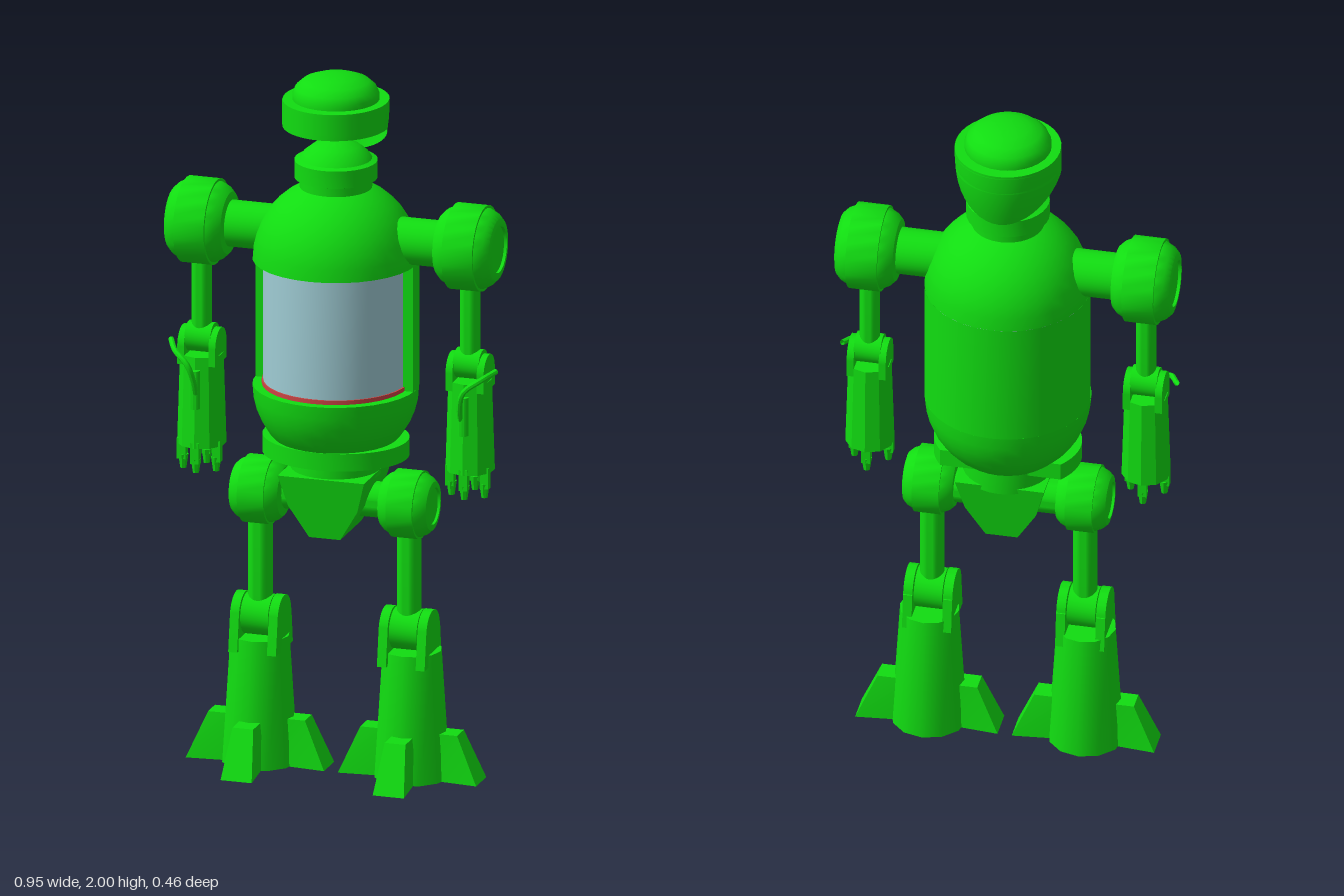
import * as THREE from 'three';
import { toCreasedNormals } from 'three/addons/utils/BufferGeometryUtils.js';

const green = new THREE.MeshStandardMaterial({ color: 0x11dd11, side: THREE.DoubleSide });
const glass = new THREE.MeshStandardMaterial({ color: 0x9fccd4, side: THREE.DoubleSide });
const red = new THREE.MeshStandardMaterial({ color: 0xcc4444, side: THREE.DoubleSide });

export function createModel() {
  const model = new THREE.Group();
  model.name = 'robot';

  const add = (parent, name, geo, x = 0, y = 0, z = 0, mat = green) => {
    const mesh = new THREE.Mesh(toCreasedNormals(geo, 0.55), mat);
    mesh.name = name;
    mesh.position.set(x, y, z);
    parent.add(mesh);
    return mesh;
  };
  const group = (name) => {
    const g = new THREE.Group();
    g.name = name;
    model.add(g);
    return g;
  };
  const lathe = (pts, seg = 32) =>
    new THREE.LatheGeometry(pts.map(([r, y]) => new THREE.Vector2(r, y)), seg);
  // lathe turned so that its axis points sideways, away from the middle
  const sideLathe = (pts, s) => lathe(pts).rotateZ(-s * Math.PI / 2);
  const cyl = (r1, r2, h, seg = 24) => new THREE.CylinderGeometry(r1, r2, h, seg);
  const arc = (r, y, a0, a1, n = 10) => Array.from({ length: n + 1 }, (_, i) => {
    const a = a0 + (a1 - a0) * i / n;
    return [Math.max(0, r * Math.cos(a)), y + r * Math.sin(a)];
  });

  // Torso: two domes, a back shell and a glazed front
  const torso = group('torso');
  add(torso, 'upperBody', lathe([[0, 1.47], ...arc(0.23, 1.47, 0, Math.PI / 2)]));
  add(torso, 'lowerBody', lathe([...arc(0.23, 1.11, -Math.PI / 2, 0), [0, 1.11]]));
  add(torso, 'backShell', new THREE.CylinderGeometry(0.23, 0.23, 0.36, 20, 1, true, Math.PI / 2, Math.PI), 0, 1.29);
  for (const s of [-1, 1])
    add(torso, 'shellEdge', new THREE.BoxGeometry(0.03, 0.36, 0.03), s * 0.213, 1.29, 0);
  add(torso, 'chestGlass', cyl(0.2, 0.2, 0.36, 40), 0, 1.29, 0, glass);
  add(torso, 'glassSeal', cyl(0.204, 0.204, 0.012, 40), 0, 1.116, 0, red);

  // Belt: a disc cut off straight behind
  const beltShape = new THREE.Shape();
  beltShape.absellipse(0, 0, 0.205, 0.175, -0.6, Math.PI + 0.6, false);
  beltShape.closePath();
  add(torso, 'belt', new THREE.ExtrudeGeometry(beltShape, { depth: 0.05, bevelEnabled: false, curveSegments: 32 })
    .rotateX(Math.PI / 2), 0, 0.96);

  // Pelvis: waist and a wedge that narrows downwards
  add(torso, 'waist', cyl(0.125, 0.125, 0.08, 32), 0, 0.895);
  const wedge = new THREE.Shape([[-0.125, 0.87], [-0.1, 0.78], [-0.045, 0.69], [0.045, 0.69], [0.1, 0.78], [0.125, 0.87]]
    .map(([x, y]) => new THREE.Vector2(x, y)));
  const pelvis = new THREE.ExtrudeGeometry(wedge, { depth: 0.25, bevelEnabled: false }).translate(0, 0, -0.115);
  const pp = pelvis.attributes.position;
  for (let i = 0; i < pp.count; i++)
    pp.setZ(i, pp.getZ(i) * (0.74 + 0.26 * (pp.getY(i) - 0.69) / 0.18));
  pelvis.computeVertexNormals();
  add(torso, 'pelvis', pelvis);

  // Neck
  const head = group('head');
  add(head, 'neck', lathe([[0.1, 1.64], [0.1, 1.7], [0.115, 1.705], [0.115, 1.755], [0.1, 1.76],
    [0.09, 1.775], [0.065, 1.795], [0.03, 1.808], [0, 1.81]]));

  // Helmet: a band whose lower edge drops to a neck guard behind
  const band = new THREE.CylinderGeometry(1, 1, 1, 40, 5, true);
  const bp = band.attributes.position;
  for (let i = 0; i < bp.count; i++) {
    const t = 0.5 - bp.getY(i), x = bp.getX(i), z = bp.getZ(i);
    const back = Math.max(0, -z);
    const r = 0.147 - 0.03 * t * t * back;
    bp.setXYZ(i, x * r, 1.93 - t * (0.075 + 0.105 * back), z * r * 1.05);
  }
  band.computeVertexNormals();
  add(head, 'helmetBand', band);
  add(head, 'helmetInside', cyl(0.145, 0.145, 0.05, 40), 0, 1.895).scale.z = 1.04;
  add(head, 'helmetRim', lathe([[0.147, 1.922], [0.146, 1.93], [0.12, 1.93]], 40)).scale.z = 1.05;
  add(head, 'helmetDome', lathe([[0.12, 0], [0.12, 0.015], [0.112, 0.034], [0.092, 0.052], [0.06, 0.064],
    [0.03, 0.069], [0, 0.07]]), 0, 1.93);

  // Rounded joint with a raised middle ring, centred on its own axis
  const joint = (w, r) => [[0, -w], [0.55 * r, -w], [0.72 * r, -0.96 * w], [0.85 * r, -0.78 * w], [0.94 * r, -0.52 * w],
    [r, -0.52 * w], [r, 0.52 * w], [0.94 * r, 0.52 * w], [0.85 * r, 0.78 * w], [0.72 * r, 0.96 * w],
    [0.6 * r, w], [0.54 * r, w], [0.54 * r, 0.9 * w], [0, 0.9 * w]];

  // Toe that widens and slopes outwards along +z
  const toe = () => {
    const g = new THREE.BoxGeometry(1, 0.135, 1).translate(0, 0.0675, 0.5);
    const p = g.attributes.position;
    for (let i = 0; i < p.count; i++) {
      const out = p.getZ(i) > 0.5, low = p.getY(i) < 0.06;
      p.setX(i, p.getX(i) * (out && low ? 0.09 : 0.06));
      p.setZ(i, out ? (low ? 0.2 : 0.14) : 0.04);
    }
    g.computeVertexNormals();
    return g;
  };

  for (const s of [-1, 1]) {
    const side = s > 0 ? 'left' : 'right';

    // Arm
    const arm = group(side + 'Arm');
    const ax = s * 0.388;
    add(arm, 'shoulderAxle', sideLathe([[0.065, 0.17], [0.065, 0.33]], s), 0, 1.54);
    add(arm, 'shoulder', sideLathe(joint(0.085, 0.12), s), ax, 1.54);
    add(arm, 'upperArm', cyl(0.028, 0.028, 0.24), ax, 1.33);
    add(arm, 'elbow', cyl(0.042, 0.042, 0.075).rotateZ(Math.PI / 2), ax, 1.205);
    for (const e of [-1, 1]) {
      add(arm, 'elbowFork', cyl(0.05, 0.05, 0.02).rotateZ(Math.PI / 2), ax + e * 0.045, 1.185);
      add(arm, 'elbowForkBase', new THREE.BoxGeometry(0.02, 0.05, 0.1), ax + e * 0.045, 1.16);
    }
    add(arm, 'forearm', lathe([[0, 0.9], [0.068, 0.9], [0.06, 1.16], [0, 1.16]], 10), ax, 0, 0);

    // Bent pipe and rod on the front of the forearm
    const pipe = new THREE.CatmullRomCurve3([[0.47, 1.195, 0.02], [0.44, 1.18, 0.075], [0.4, 1.15, 0.095],
      [0.385, 1.1, 0.085], [0.385, 1.04, 0.06]].map(([x, y, z]) => new THREE.Vector3(s * x, y, z)));
    add(arm, 'forearmPipe', new THREE.TubeGeometry(pipe, 20, 0.008, 8));
    add(arm, 'forearmRod', cyl(0.015, 0.015, 0.11, 12), ax, 1.07, 0.062);

    // Hand: fingers around the wrist
    for (const [fx, fz] of [[-0.05, 0.02], [0, 0.055], [0.05, 0.02], [0, -0.045]]) {
      add(arm, 'finger', new THREE.BoxGeometry(0.025, 0.06, 0.022), ax + fx, 0.885, fz);
      add(arm, 'fingertip', cyl(0.015, 0.009, 0.04, 8), ax + fx * 0.95, 0.848, fz * 0.95);
    }

    // Leg
    const leg = group(side + 'Leg');
    const lx = s * 0.215, fx = s * 0.22;
    add(leg, 'hipAxle', sideLathe([[0.05, 0.05], [0.05, 0.16]], s), 0, 0.785);
    add(leg, 'hip', sideLathe(joint(0.073, 0.095), s), lx, 0.785, 0.01);
    add(leg, 'thigh', cyl(0.034, 0.034, 0.28), lx, 0.57, 0.01);
    add(leg, 'knee', cyl(0.058, 0.058, 0.08).rotateZ(Math.PI / 2), lx, 0.425, 0.01);

    // Knee fork with rounded tops
    const plate = new THREE.Shape();
    plate.moveTo(-0.075, 0.33);
    plate.lineTo(0.075, 0.33);
    plate.lineTo(0.062, 0.43);
    plate.absarc(0, 0.425, 0.06, 0.1, Math.PI - 0.1, false);
    plate.closePath();
    const plateGeo = new THREE.ExtrudeGeometry(plate, { depth: 0.026, bevelEnabled: false }).rotateY(Math.PI / 2);
    for (const e of [-1, 1])
      add(leg, 'kneeFork', plateGeo, lx + e * 0.056 - 0.013, 0, 0.01);

    // Shin and three-toed foot
    add(leg, 'shin', cyl(0.083, 0.106, 0.365, 12), fx, 0.1825);
    for (const a of [-1, 0, 1]) {
      const t = add(leg, 'toe', toe(), fx, 0, a ? 0 : 0.01);
      t.rotation.y = a * Math.PI / 2;
    }
  }
  return model;
}
